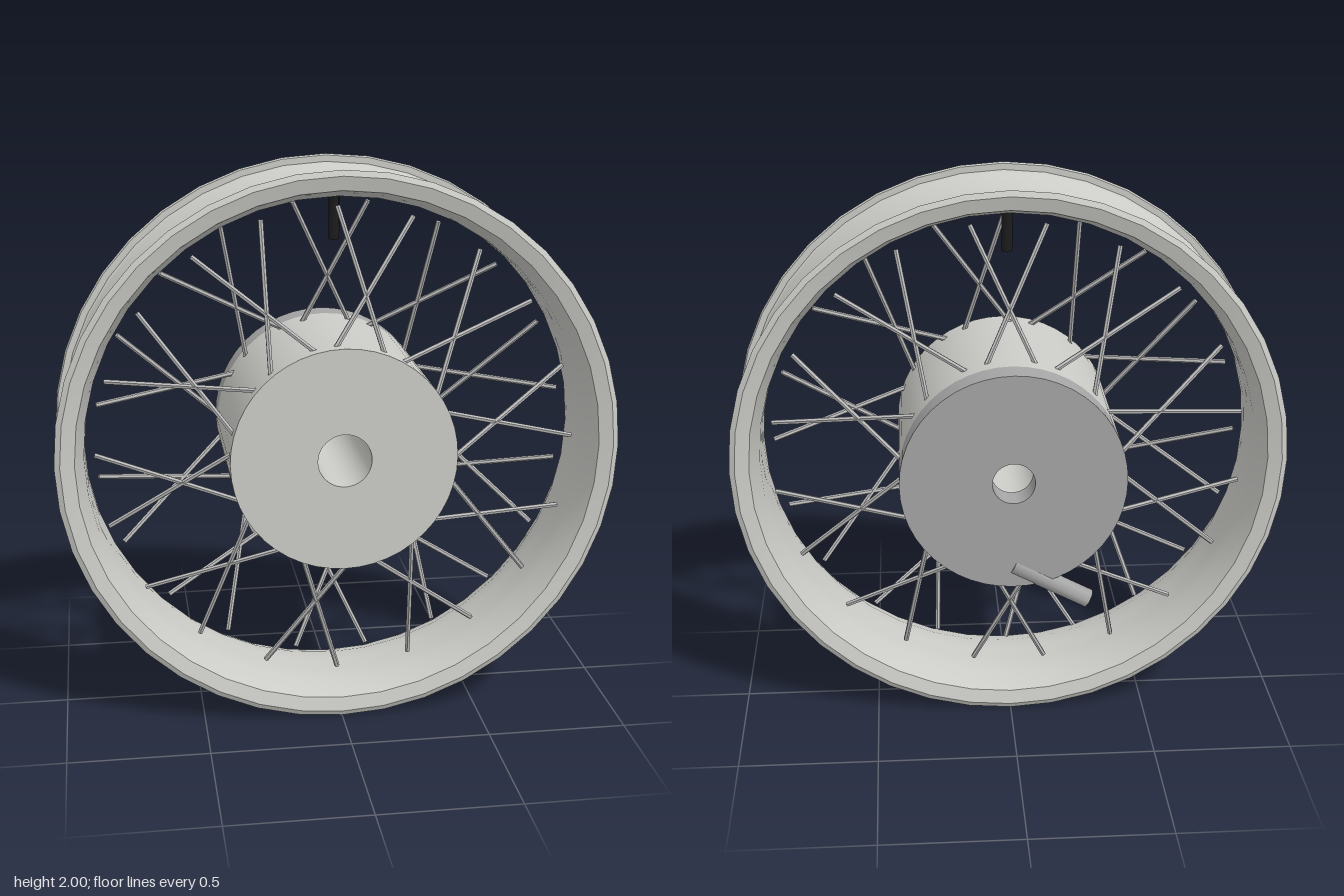
import * as THREE from 'three';
import { toCreasedNormals } from 'three/addons/utils/BufferGeometryUtils.js';

const mat = (name, color) => {
  const m = new THREE.MeshStandardMaterial({ color });
  m.name = name;
  return m;
};

export function createModel() {
  const rimMetal = mat('rim metal', 0xcbcbc7);
  const plateMetal = mat('brake plate metal', 0xa6a6a6);
  const spokeMetal = mat('spoke metal', 0xbcbcbc);
  const rubber = mat('black rubber', 0x1c1c1c);

  const model = new THREE.Group();
  const wheel = new THREE.Group();
  wheel.name = 'wheel';
  wheel.position.y = 1;
  model.add(wheel);

  const add = (name, geometry, material) => {
    const mesh = new THREE.Mesh(geometry, material);
    mesh.name = name;
    wheel.add(mesh);
    return mesh;
  };

  // Closed profile of [radius, z] pairs turned round the axle (z)
  const turned = (name, profile, segments, material) => {
    const pts = [...profile, profile[0]].map(([r, z]) => new THREE.Vector2(r, z));
    const geometry = new THREE.LatheGeometry(pts, segments);
    geometry.rotateX(Math.PI / 2);
    return add(name, toCreasedNormals(geometry, 0.45), material);
  };

  // Round bar between two points
  const bar = (name, a, b, radius, sides, material) => {
    const dir = b.clone().sub(a);
    const geometry = new THREE.CylinderGeometry(radius, radius, dir.length(), sides);
    const mesh = add(name, toCreasedNormals(geometry, 0.9), material);
    mesh.position.copy(a).add(b).multiplyScalar(0.5);
    mesh.quaternion.setFromUnitVectors(new THREE.Vector3(0, 1, 0), dir.normalize());
    return mesh;
  };

  const polar = (r, deg, z) => {
    const t = THREE.MathUtils.degToRad(deg);
    return new THREE.Vector3(r * Math.cos(t), r * Math.sin(t), z);
  };

  // Rim: flanged channel, symmetric about its own mid plane
  const mid = 0.055;
  const outer = [[0.93, 0.05], [0.938, 0.11], [0.965, 0.2], [0.972, 0.207], [0.995, 0.207], [1, 0.215], [0.98, 0.225]];
  const inner = [[0.93, 0.212], [0.898, 0.12], [0.895, 0.05]];
  const half = [...outer, ...inner];
  const mirrored = half.map(([r, z]) => [r, -z]).reverse();
  turned('rim', [...half, ...mirrored].map(([r, z]) => [r, z + mid]), 40, rimMetal);

  // Hub drum with a wide bore, and the brake plate with a narrower one
  turned('hubDrum', [[0.095, -0.23], [0.4, -0.23], [0.4, 0.33], [0.095, 0.33]], 48, rimMetal);
  turned('brakePlate', [[0.075, -0.327], [0.4, -0.327], [0.4, -0.23], [0.075, -0.23]], 48, plateMetal);

  // Brake lever, half sunk in the plate
  bar('brakeLever', new THREE.Vector3(-0.27, -0.47, -0.3), new THREE.Vector3(0, -0.325, -0.3), 0.036, 8, plateMetal);

  // Forty crossed spokes, alternating between the two hub ends
  for (let k = 0; k < 40; k++) {
    const side = k % 2 === 0 ? 1 : -1;
    const lean = k % 4 < 2 ? 22 : -22;
    bar('spoke', polar(0.39, 9 * k + lean, mid + side * 0.222),
      polar(0.86, 9 * k, mid + side * 0.085), 0.0095, 6, spokeMetal);
  }

  // Valve stem
  bar('valveStem', new THREE.Vector3(0, 0.73, mid), new THREE.Vector3(0, 0.9, mid), 0.019, 8, rubber);

  return model;
}
